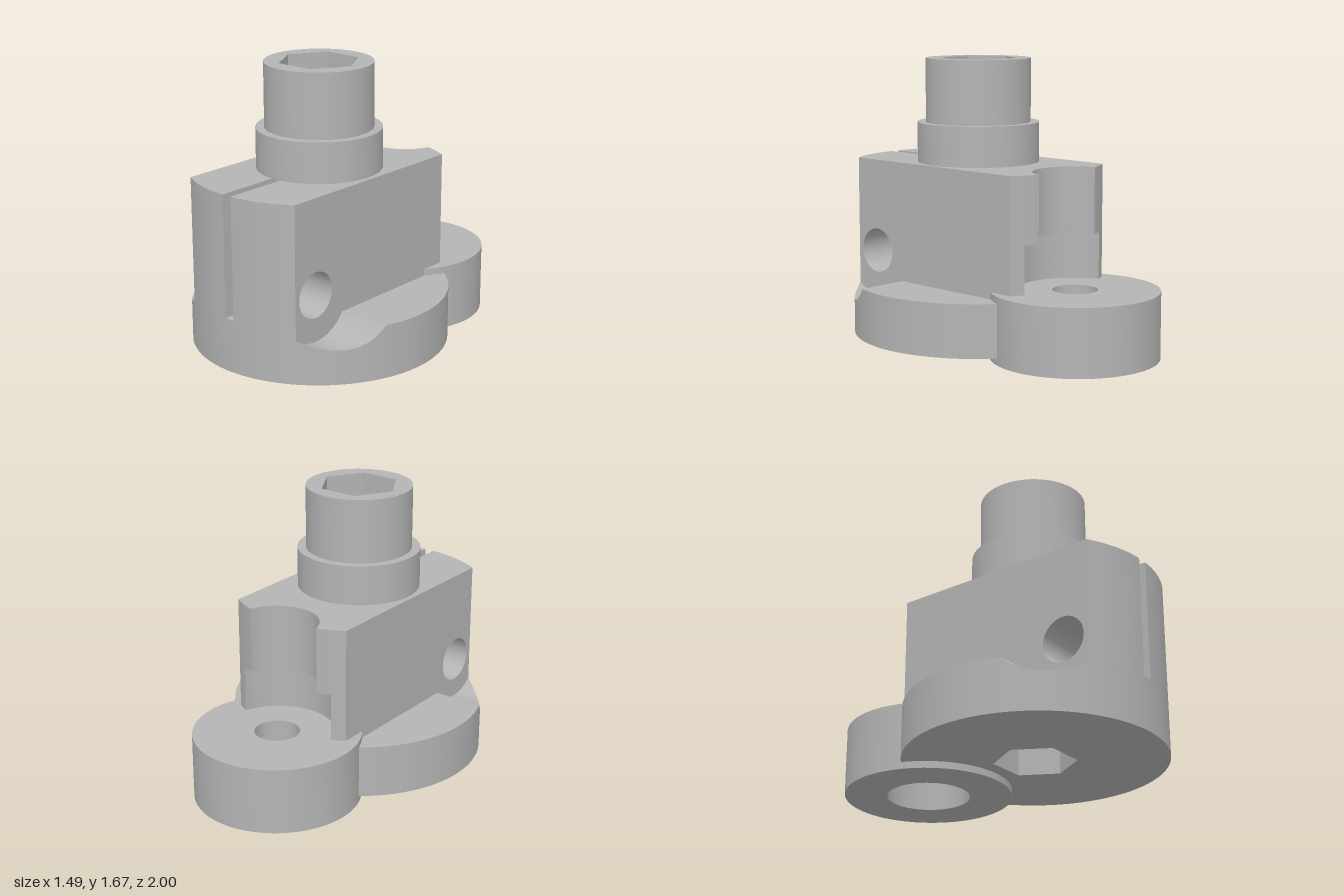
import * as THREE from 'three';
import { toCreasedNormals } from 'three/addons/utils/BufferGeometryUtils.js';

const R = 0.745, ZC = 0.255;       // main round body
const ZR = -0.515;                 // rear boss centre
const W = 0.39;                    // half width of the clamp block
const SLOT = 0.03;                 // half width of the clamping slot
const HOLE = { z: 0.727, y: 0.51, r: 0.132 };
const HEX = [[0.235, 0.255], [0.117, 0.05], [-0.117, 0.05], [-0.235, 0.255], [-0.117, 0.455], [0.117, 0.455]];

const arcZ = (x) => Math.sqrt(R * R - x * x);
const toPoints = (list) => list.map(([x, z]) => new THREE.Vector2(x, -z));

// Extrude a plan outline, given as [x, z], from y0 up to y1
function extrudeUp(shape, y0, y1) {
  const g = new THREE.ExtrudeGeometry(shape, { depth: y1 - y0, bevelEnabled: false, curveSegments: 48 });
  g.rotateX(-Math.PI / 2).translate(0, y0, 0);
  return toCreasedNormals(g, 0.4);
}

// Rear edge of the block from +x to -x: body arc with a round cut around the boss hole
function rearEdge(r) {
  const d = ZC - ZR;
  const a = (d * d + R * R - r * r) / (2 * d);
  const xi = Math.sqrt(R * R - a * a);
  const t0 = Math.atan2(ZC - a - ZR, xi);
  const side = [], cut = [];
  for (let i = 0; i < 6; i++) {
    const x = W + (xi - W) * i / 6;
    side.push([x, ZC - arcZ(x)]);
  }
  for (let i = 0; i <= 36; i++) {
    const t = t0 + (Math.PI - 2 * t0) * i / 36;
    cut.push([r * Math.cos(t), ZR + r * Math.sin(t)]);
  }
  return [...side, ...cut, ...side.map(([x, z]) => [-x, z]).reverse()];
}

// Side part of the flange, its top scooped by a round spot face of radius r
function wingGeometry(s, r) {
  const yTop = 0.35, y0 = 0.04;
  const kink = HOLE.z - Math.sqrt(r * r - (HOLE.y - yTop) ** 2);
  const zs = [];
  const z0 = ZC - arcZ(W), z1 = ZC + arcZ(W);
  for (let i = 0; i < 48; i++) zs.push(z0 + (kink - z0) * i / 48);
  for (let i = 0; i <= 32; i++) zs.push(kink + (z1 - kink) * i / 32);
  const rows = zs.map((z) => {
    const x = Math.max(W, Math.sqrt(R * R - (z - ZC) ** 2));
    const y = z <= kink ? yTop : HOLE.y - Math.sqrt(r * r - (z - HOLE.z) ** 2);
    return { it: [s * W, y, z], ot: [s * x, y, z], ib: [s * W, y0, z], ob: [s * x, y0, z] };
  });
  const pos = [];
  const quad = (a, b, c, d) => {
    const tris = s > 0 ? [a, b, c, a, c, d] : [a, c, b, a, d, c];
    tris.forEach((p) => pos.push(...p));
  };
  for (let i = 0; i + 1 < rows.length; i++) {
    const a = rows[i], b = rows[i + 1];
    quad(a.it, b.it, b.ot, a.ot);
    quad(a.ot, b.ot, b.ob, a.ob);
    quad(a.ib, a.ob, b.ob, b.ib);
  }
  const g = new THREE.BufferGeometry();
  g.setAttribute('position', new THREE.Float32BufferAttribute(pos, 3));
  return toCreasedNormals(g, 0.4);
}

// Front clamp jaw with the cross hole; its front is bent onto the body arc
function jawGeometry(x0) {
  const back = 0.455, front = ZC + arcZ(W);
  const shape = new THREE.Shape([[back, 0.35], [back, 1.06], [front, 1.06], [front, 0.35]]
    .map(([z, y]) => new THREE.Vector2(-z, y)));
  shape.holes.push(new THREE.Path().absarc(-HOLE.z, HOLE.y, HOLE.r, 0, Math.PI * 2, true));
  const g = new THREE.ExtrudeGeometry(shape, { depth: W - SLOT, steps: 12, bevelEnabled: false, curveSegments: 40 });
  g.rotateY(Math.PI / 2).translate(x0, 0, 0);
  const p = g.attributes.position;
  for (let i = 0; i < p.count; i++) {
    if (p.getZ(i) > front - 0.01) p.setZ(i, ZC + arcZ(p.getX(i)));
  }
  return toCreasedNormals(g, 0.4);
}

export function createModel() {
  const model = new THREE.Group();
  const grey = new THREE.MeshStandardMaterial({ color: 0xb4b4b4 });
  grey.name = 'machinedGrey';
  const add = (name, geometry) => {
    const m = new THREE.Mesh(geometry, grey);
    m.name = name;
    model.add(m);
  };
  const hexHole = () => new THREE.Path(toPoints(HEX));

  // Flange: central strip with the hexagonal bore, plus two scooped wings
  const frontArc = [];
  for (let i = 0; i <= 24; i++) {
    const x = -W + 2 * W * i / 24;
    frontArc.push([x, ZC + arcZ(x)]);
  }
  const base = new THREE.Shape(toPoints([...rearEdge(0.33), ...frontArc]));
  base.holes.push(hexHole());
  add('flangeCentre', extrudeUp(base, 0.04, 0.35));
  add('flangeLeft', wingGeometry(1, 0.27));
  add('flangeRight', wingGeometry(-1, 0.245));

  // Rear half of the block, with a wider clearance cut below
  const notch = [[-W, 0.455], HEX[4], HEX[3], HEX[2], HEX[1], HEX[0], HEX[5], [W, 0.455]];
  const rearPlan = (r) => new THREE.Shape(toPoints([...rearEdge(r), ...notch]));
  add('blockLower', extrudeUp(rearPlan(0.33), 0.35, 0.67));
  add('blockUpper', extrudeUp(rearPlan(0.245), 0.67, 1.06));

  // Clamp jaws either side of the slot
  add('jawLeft', jawGeometry(SLOT));
  add('jawRight', jawGeometry(-W));

  // Stepped hollow spigot on top
  for (const [name, r, y0, y1] of [['collar', 0.36, 1.06, 1.295], ['spigot', 0.31, 1.295, 1.67]]) {
    const ring = new THREE.Shape().absarc(0, -ZC, r, 0, Math.PI * 2, false);
    ring.holes.push(hexHole());
    add(name, extrudeUp(ring, y0, y1));
  }

  // Rear boss with a counterbore from below
  const profile = [[0.24, 0], [0.485, 0], [0.485, 0.39], [0.13, 0.39], [0.13, 0.305], [0.24, 0.305], [0.24, 0]]
    .map(([x, y]) => new THREE.Vector2(x, y));
  add('rearBoss', toCreasedNormals(new THREE.LatheGeometry(profile, 80).translate(0, 0, ZR), 0.4));

  return model;
}
